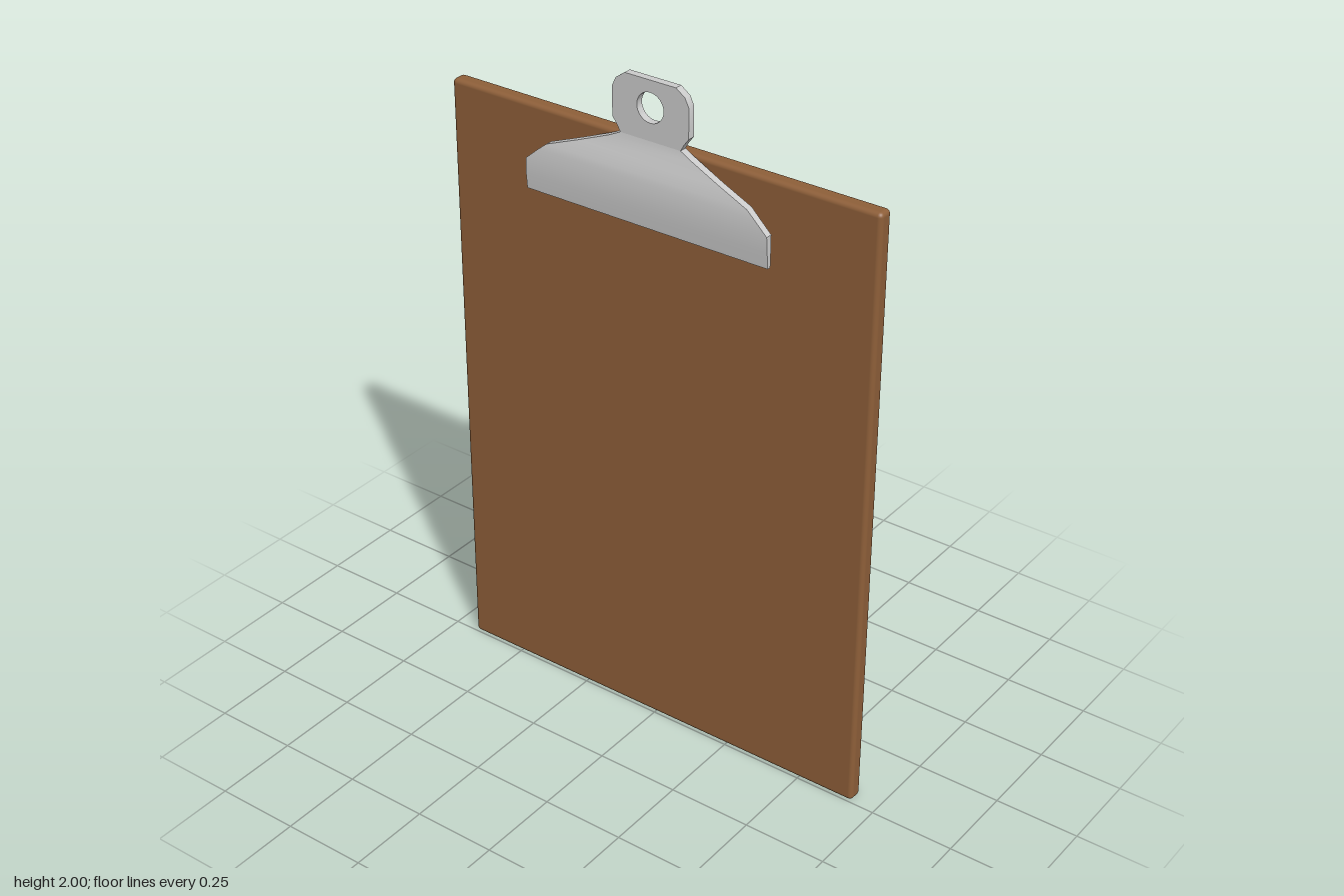
import * as THREE from 'three';
import { RoundedBoxGeometry } from 'three/addons/geometries/RoundedBoxGeometry.js';
import { toCreasedNormals } from 'three/addons/utils/BufferGeometryUtils.js';

const BACK = -0.004; // plane where the clip rests on the board

export function createModel() {
  const wood = new THREE.MeshStandardMaterial({ color: 0x8e5f39 });
  const metal = new THREE.MeshStandardMaterial({ color: 0xcccccc });
  const model = new THREE.Group();
  model.name = 'clipboard';

  // Board with slightly rounded edges
  const board = new THREE.Mesh(new RoundedBoxGeometry(1.355, 1.82, 0.046, 3, 0.013), wood);
  board.name = 'board';
  board.position.set(0, 0.91, -0.027);
  model.add(board);

  const clip = new THREE.Group();
  clip.name = 'clip';
  model.add(clip);

  // Hanging tab with a round hole
  const half = [[0.095, 1.832], [0.105, 1.85], [0.12, 1.87], [0.12, 1.955], [0.108, 1.98], [0.08, 2]];
  const outline = [...half, ...half.map(([x, y]) => [-x, y]).reverse()];
  const shape = new THREE.Shape(outline.map(([x, y]) => new THREE.Vector2(x, y)));
  shape.holes.push(new THREE.Path().absarc(0, 1.924, 0.042, 0, Math.PI * 2, true));
  const tabGeo = new THREE.ExtrudeGeometry(shape, { depth: 0.022, bevelEnabled: false, curveSegments: 16 });
  tabGeo.translate(0, 0, BACK);
  const tab = new THREE.Mesh(toCreasedNormals(tabGeo, 0.6), metal);
  tab.name = 'hangingTab';
  clip.add(tab);

  // Bent jaw plate; each row is y, half width, front z, back z
  const rows = [
    [1.832, 0.095, 0.018, BACK],
    [1.815, 0.13, 0.021, BACK + 0.003],
    [1.78, 0.222, 0.033, 0.012],
    [1.745, 0.318, 0.044, 0.023],
    [1.725, 0.343, 0.047, 0.027],
    [1.69, 0.383, 0.05, 0.03],
    [1.645, 0.385, 0.049, 0.033],
    [1.6, 0.385, 0.045, 0.034],
  ];
  const n = rows.length - 1;
  const jawGeo = new THREE.BoxGeometry(2, 1, 2, 1, n, 1);
  const p = jawGeo.attributes.position;
  for (let i = 0; i < p.count; i++) {
    const [y, w, front, back] = rows[Math.round((0.5 - p.getY(i)) * n)];
    p.setXYZ(i, p.getX(i) * w, y, p.getZ(i) > 0 ? front : back);
  }
  const jaw = new THREE.Mesh(toCreasedNormals(jawGeo, 0.5), metal);
  jaw.name = 'clipJaw';
  clip.add(jaw);

  return model;
}
